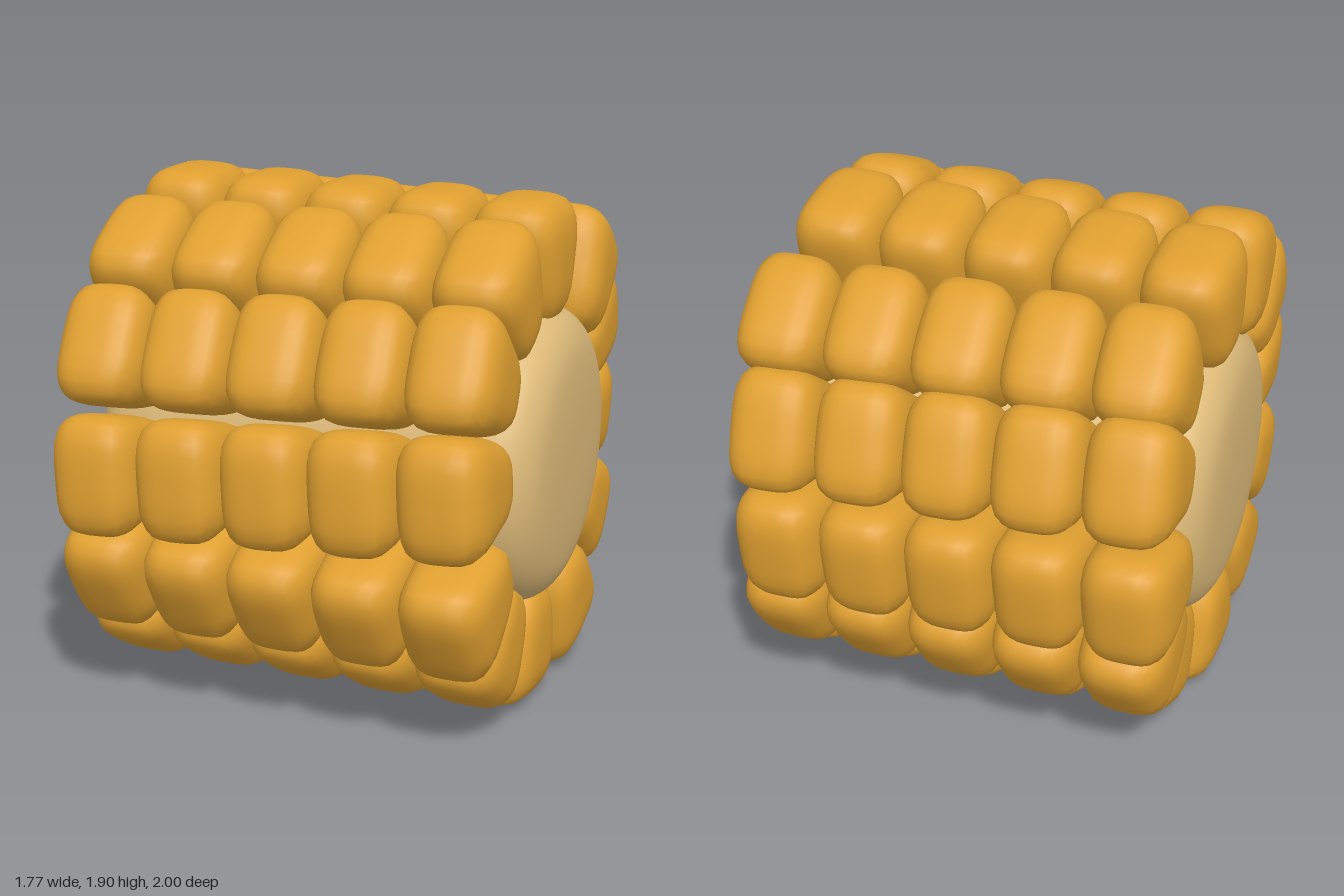
import * as THREE from 'three';
import { mergeVertices } from 'three/addons/utils/BufferGeometryUtils.js';

const KERNEL = new THREE.MeshStandardMaterial({ color: 0xe0a030 });
const CORE = new THREE.MeshStandardMaterial({ color: 0xdcb978 });

// Soft rounded kernel: local y is radial, z runs round the cob and widens outward
function kernelGeometry() {
  const geo = new THREE.BoxGeometry(2, 2, 2, 9, 9, 9);
  geo.deleteAttribute('uv');
  geo.deleteAttribute('normal');
  const merged = mergeVertices(geo, 1e-4);
  const pos = merged.attributes.position;
  const p = 3.5;
  const v = new THREE.Vector3();
  for (let i = 0; i < pos.count; i++) {
    v.fromBufferAttribute(pos, i);
    // even out the spacing before projecting onto the rounded form
    v.set(Math.tan(v.x * Math.PI / 4), Math.tan(v.y * Math.PI / 4), Math.tan(v.z * Math.PI / 4));
    const n = Math.pow(Math.abs(v.x) ** p + Math.abs(v.y) ** p + Math.abs(v.z) ** p, 1 / p);
    v.divideScalar(n);
    const r = 0.715 + 0.232 * v.y;
    pos.setXYZ(i, v.x * 0.167, r, v.z * 0.27 * r);
  }
  merged.computeVertexNormals();
  return merged;
}

// Rounded cylinder for the core, lying along x
function coreGeometry() {
  const half = [[0.0, 0.865], [0.2, 0.862], [0.36, 0.85], [0.45, 0.825], [0.515, 0.775], [0.55, 0.7], [0.565, 0.58]];
  const curve = new THREE.SplineCurve(half.map(([r, y]) => new THREE.Vector2(r, y)));
  const top = curve.getPoints(24);
  const bottom = top.map((q) => new THREE.Vector2(q.x, -q.y));
  const profile = [...bottom, ...top.reverse()];
  profile.forEach((q) => { q.x = Math.max(0, q.x); });
  return new THREE.LatheGeometry(profile, 64).rotateZ(-Math.PI / 2);
}

// Each row: angle round the cob in degrees (0 = front, 90 = top), yaw, shift along x
const ROWS = [
  [94, 0, -0.02], [64.3, 0.035, -0.035], [35.6, 0.05, -0.03], [4.6, 0.07, -0.005],
  [-29, 0, -0.02], [-56, 0.025, -0.03], [-85, 0.035, -0.02], [-115, 0.058, 0.03],
  [-145, 0, 0], [-175, 0.035, -0.04], [153.7, 0.047, -0.01], [126.3, 0.035, 0.03],
];

export function createModel() {
  const model = new THREE.Group();
  model.name = 'cornCobPiece';

  // Whole cob sits slightly turned
  const cob = new THREE.Group();
  cob.name = 'cob';
  cob.position.y = 0.97;
  cob.rotation.y = -0.08;
  model.add(cob);

  const core = new THREE.Mesh(coreGeometry(), CORE);
  core.name = 'core';
  cob.add(core);

  // Twelve rows of five kernels
  const geo = kernelGeometry();
  ROWS.forEach(([angle, yaw, shift], i) => {
    const row = new THREE.Group();
    row.name = `kernelRow${i + 1}`;
    row.position.x = shift;
    row.rotation.set(THREE.MathUtils.degToRad(90 - angle), yaw, 0);
    for (let k = -2; k <= 2; k++) {
      const kernel = new THREE.Mesh(geo, KERNEL);
      kernel.name = 'kernel';
      kernel.position.x = k * 0.322;
      row.add(kernel);
    }
    cob.add(row);
  });

  return model;
}
